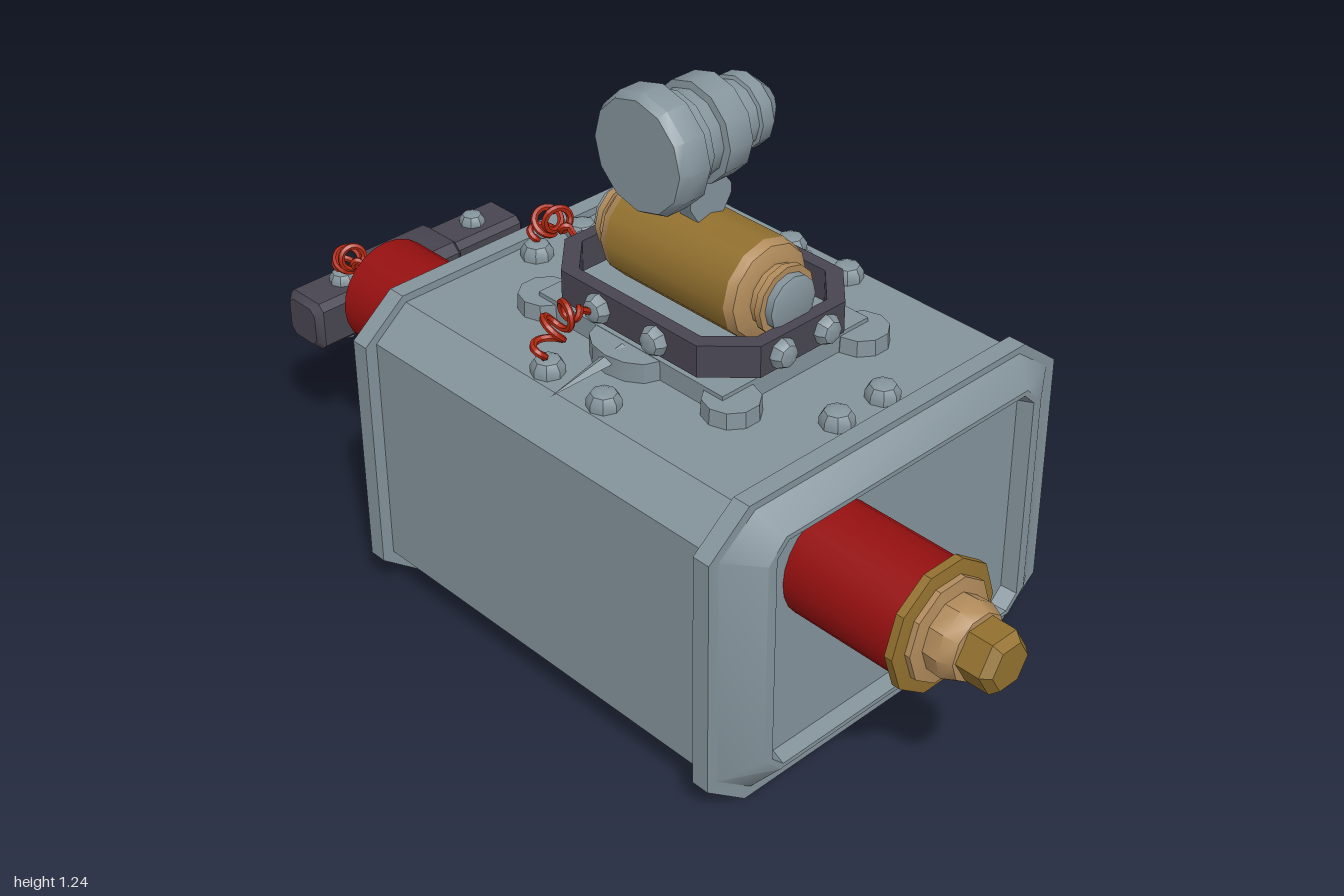
import * as THREE from 'three';
import { toCreasedNormals } from 'three/addons/utils/BufferGeometryUtils.js';

const material = (name, color) => Object.assign(new THREE.MeshStandardMaterial({ color }), { name });

export function createModel() {
  const model = new THREE.Group();
  model.name = 'detonatorBox';
  const steel = material('blueGreySteel', 0x84939b);
  const dark = material('darkIron', 0x484551);
  const red = material('redCasing', 0x961010);
  const wireRed = material('redWire', 0xb0270f);
  const brass = material('brass', 0x93712f);
  const tan = material('paleBrass', 0xb18b5b);
  const CX = 0.04; // middle of the box

  const add = (name, geometry, mat, x = 0, y = 0, z = 0) => {
    const mesh = new THREE.Mesh(toCreasedNormals(geometry, 0.6), mat);
    mesh.name = name;
    mesh.position.set(x, y, z);
    model.add(mesh);
    return mesh;
  };

  // Turned part: [radius, distance] pairs along the chosen axis
  const turned = (profile, sides, axis = 'y') => {
    const g = new THREE.LatheGeometry(profile.map(([r, h]) => new THREE.Vector2(r, h)), sides);
    if (axis === 'x') g.rotateZ(-Math.PI / 2);
    if (axis === '-x') g.rotateZ(Math.PI / 2);
    if (axis === 'z') g.rotateX(Math.PI / 2);
    if (axis === '-z') g.rotateX(-Math.PI / 2);
    return g;
  };

  // Octagonal sections [x, half depth, bottom, top, chamfer z, chamfer y] skinned along x
  const loft = (sections) => {
    const rings = sections.map(([x, h, b, t, cz, cy]) => [
      [t, cz - h], [t, h - cz], [t - cy, h], [b + cy, h],
      [b, h - cz], [b, cz - h], [b + cy, -h], [t - cy, -h],
    ].map(([y, z]) => [x, y, z]));
    const pos = [];
    const tri = (...p) => p.forEach((v) => pos.push(...v));
    for (let i = 0; i + 1 < rings.length; i++) {
      const a = rings[i], b = rings[i + 1];
      for (let j = 0; j < 8; j++) {
        const k = (j + 1) % 8;
        tri(a[j], a[k], b[k]);
        tri(a[j], b[k], b[j]);
      }
    }
    const first = rings[0], last = rings[rings.length - 1];
    for (let j = 1; j < 7; j++) {
      tri(first[0], first[j + 1], first[j]);
      tri(last[0], last[j], last[j + 1]);
    }
    const g = new THREE.BufferGeometry();
    g.setAttribute('position', new THREE.Float32BufferAttribute(pos, 3));
    return g;
  };
  const mirrored = (half) => loft([...half, ...[...half].reverse().map(([x, ...s]) => [-x, ...s])]);

  // Box with raised end flanges, tapered rims and recessed end panels
  add('boxBody', mirrored([
    [-0.525, 0.35, 0.095, 0.615, 0.03, 0.03],
    [-0.56, 0.358, 0.09, 0.622, 0.03, 0.03],
    [-0.56, 0.38, 0.08, 0.632, 0.045, 0.045],
    [-0.51, 0.455, 0.022, 0.68, 0.09, 0.07],
    [-0.51, 0.48, 0, 0.695, 0.1, 0.08],
    [-0.47, 0.48, 0, 0.695, 0.1, 0.08],
    [-0.47, 0.453, 0.025, 0.678, 0.08, 0.065],
  ]), steel, CX);

  // Rounded bolt heads
  const bolt = (name, x, y, z, axis = 'y', s = 1) => add(name, turned(
    [[0, 0], [0.035, 0], [0.035, 0.016], [0.026, 0.03], [0.012, 0.036], [0, 0.036]]
      .map(([r, h]) => [r * s, h * s]), 8, axis), steel, x, y, z);
  for (const s of [-1, 1]) {
    for (const z of [-0.063, 0.063]) bolt('lidBolt', CX + s * 0.425, 0.678, z);
    for (const x of [-0.08, 0.08]) bolt('lidBolt', CX + x, 0.678, s * 0.335);
  }

  // Lobed mounting plate
  add('mountPlate', new THREE.BoxGeometry(0.52, 0.045, 0.4), steel, CX, 0.6995, 0);
  for (const s of [-1, 1]) {
    for (const t of [-1, 1]) {
      add('plateLobe', new THREE.CylinderGeometry(0.058, 0.06, 0.036, 10), steel, CX + s * 0.262, 0.695, t * 0.178);
    }
    const tab = new THREE.CylinderGeometry(1, 1, 0.045, 12);
    tab.scale(0.09, 1, 0.06);
    add('plateTab', tab, steel, CX, 0.6985, s * 0.2);
  }

  // Hollow eight-sided collar
  const octagon = (Type, hx, hz, c) => new Type([
    [hx, hz - c], [hx - c, hz], [c - hx, hz], [-hx, hz - c],
    [-hx, c - hz], [c - hx, -hz], [hx - c, -hz], [hx, c - hz],
  ].map(([x, y]) => new THREE.Vector2(x, y)));
  const collarShape = octagon(THREE.Shape, 0.275, 0.2, 0.085);
  collarShape.holes.push(octagon(THREE.Path, 0.245, 0.17, 0.075));
  const collar = new THREE.ExtrudeGeometry(collarShape, { depth: 0.07, bevelEnabled: false });
  collar.rotateX(-Math.PI / 2);
  add('collar', collar, dark, CX, 0.732, 0);
  for (const o of [-1, 1]) {
    bolt('collarBolt', CX + o * 0.08, 0.765, 0.195, 'z', 0.9);
    bolt('collarBolt', CX + o * 0.08, 0.765, -0.195, '-z', 0.9);
    bolt('collarBolt', CX + 0.27, 0.765, o * 0.06, 'x', 0.9);
    bolt('collarBolt', CX - 0.27, 0.765, o * 0.06, '-x', 0.9);
  }

  // Brass barrel lying in the collar, with stepped ends
  add('barrel', turned([[0.107, -0.165], [0.107, 0.165]], 12, 'x'), brass, CX, 0.833, 0);
  for (const axis of ['x', '-x']) {
    add('barrelEnd', turned([[0.107, 0.165], [0.1, 0.185], [0.075, 0.197], [0.066, 0.197], [0.066, 0.215],
      [0.074, 0.215], [0.074, 0.23], [0.058, 0.23], [0.058, 0.245], [0.05, 0.245]], 12, axis), tan, CX, 0.833, 0);
    add('barrelEndPlug', turned([[0.06, 0.2], [0.06, 0.247], [0.05, 0.252], [0, 0.252]], 12, axis), steel, CX, 0.833, 0);
  }

  // Waisted bracket that carries the scope
  const side = [[0.03, 0.9], [0.03, 0.925], [0.055, 0.965], [0.055, 0.985], [0.036, 1.01], [0.036, 1.05]];
  const bracket = new THREE.ExtrudeGeometry(new THREE.Shape(
    [...side, ...[...side].reverse().map(([z, y]) => [-z, y])].map(([z, y]) => new THREE.Vector2(z, y))),
  { depth: 0.048, bevelEnabled: false });
  bracket.translate(0, 0, -0.024).rotateY(Math.PI / 2);
  add('scopeBracket', bracket, steel, CX);

  // Scope, narrow end at the back
  add('scope', turned([[0, -0.16], [0.038, -0.16], [0.077, -0.115], [0.077, -0.085], [0.07, -0.082],
    [0.07, -0.05], [0.085, -0.04], [0.105, -0.03], [0.105, 0.03], [0.09, 0.032], [0.09, 0.064],
    [0.1, 0.066], [0.1, 0.088], [0.126, 0.102], [0.126, 0.152], [0.115, 0.17], [0, 0.17]], 12, 'z'),
  steel, CX, 1.116, 0);

  // Red cylinders passing out of both end panels
  const RY = 0.488, RZ = 0.185;
  add('rightRod', turned([[0, -0.3], [0.12, -0.3], [0.12, 0.28], [0.11, 0.28], [0, 0.28]], 24, '-x'), red, -0.465, RY, RZ);
  add('leftRod', new THREE.CylinderGeometry(0.12, 0.12, 0.3, 24).rotateZ(-Math.PI / 2), red, 0.69, RY, RZ);

  // Stepped terminal and hexagonal nut
  add('terminalFlange', turned([[0, 0.828], [0.137, 0.828], [0.137, 0.846], [0.108, 0.85], [0, 0.85]], 10, 'x'), brass, 0, RY, RZ);
  add('terminalNeck', turned([[0.108, 0.845], [0.108, 0.862], [0.08, 0.866], [0.082, 0.9], [0.07, 0.928], [0, 0.935]], 10, 'x'), tan, 0, RY, RZ);
  add('terminalNut', turned([[0, 0.92], [0.064, 0.925], [0.064, 0.982], [0.048, 1], [0, 1]], 6, 'x'), brass, 0, RY, RZ);

  // Cone and steel tip at the wired end
  add('rodCone', turned([[0.1, 0.74], [0.1, 0.758], [0.055, 0.795], [0, 0.797]], 12, '-x'), brass, 0, RY, RZ);
  add('rodTip', turned([[0.035, 0.79], [0.035, 0.805], [0.018, 0.822], [0, 0.824]], 8, '-x'), steel, 0, RY, RZ);

  // Dark bar with a thicker middle block
  const bar = mirrored([
    [-0.3, 0.046, 0.327, 0.418, 0.015, 0.015],
    [-0.285, 0.06, 0.314, 0.431, 0.015, 0.015],
    [-0.1, 0.06, 0.314, 0.431, 0.015, 0.015],
    [-0.098, 0.068, 0.308, 0.436, 0.02, 0.02],
    [-0.088, 0.075, 0.302, 0.442, 0.02, 0.02],
  ]);
  bar.rotateY(Math.PI / 2);
  add('sideBar', bar, dark, -0.925, 0, -0.005);
  for (const z of [-0.195, 0.18]) {
    bolt('barBoltTop', -0.925, 0.428, z, 'y', 0.85);
    bolt('barBoltBottom', -0.925, 0.317, z, 'y', 0.85).rotation.x = Math.PI;
  }

  // Wire that coils around a guide curve, straight at both ends
  const coil = (name, points, turns = 4.5, radius = 0.026) => {
    const guide = new THREE.CatmullRomCurve3(points.map((p) => new THREE.Vector3(...p)));
    const path = [];
    for (let i = 0; i <= 60; i++) {
      const t = i / 60, dir = guide.getTangent(t);
      const flat = new THREE.Vector3(-dir.z, 0, dir.x).normalize();
      const up = new THREE.Vector3().crossVectors(flat, dir);
      const r = radius * THREE.MathUtils.smoothstep(t, 0.2, 0.5) * (1 - THREE.MathUtils.smoothstep(t, 0.94, 1));
      const a = t * turns * Math.PI * 2;
      path.push(guide.getPoint(t).addScaledVector(flat, r * Math.cos(a)).addScaledVector(up, r * Math.sin(a)));
    }
    add(name, new THREE.TubeGeometry(new THREE.CatmullRomCurve3(path), 140, 0.0075, 6), wireRed);
  };
  coil('frontWire', [[-0.04, 0.765, 0.22], [-0.04, 0.785, 0.26], [-0.04, 0.78, 0.31], [-0.04, 0.715, 0.345]]);
  coil('sideWire', [[-0.255, 0.765, 0.06], [-0.295, 0.785, 0.058], [-0.35, 0.78, 0.055], [-0.385, 0.715, 0.06]]);
  coil('barWire', [[-0.82, 0.488, 0.185], [-0.86, 0.51, 0.18], [-0.9, 0.5, 0.176], [-0.928, 0.455, 0.178]]);

  // Small pointed latch in front of the plate
  const latch = new THREE.ConeGeometry(0.024, 0.19, 4);
  latch.scale(1, 1, 0.6).rotateX(Math.PI / 2 + 0.12);
  add('latch', latch, steel, CX, 0.7, 0.305);

  return model;
}
